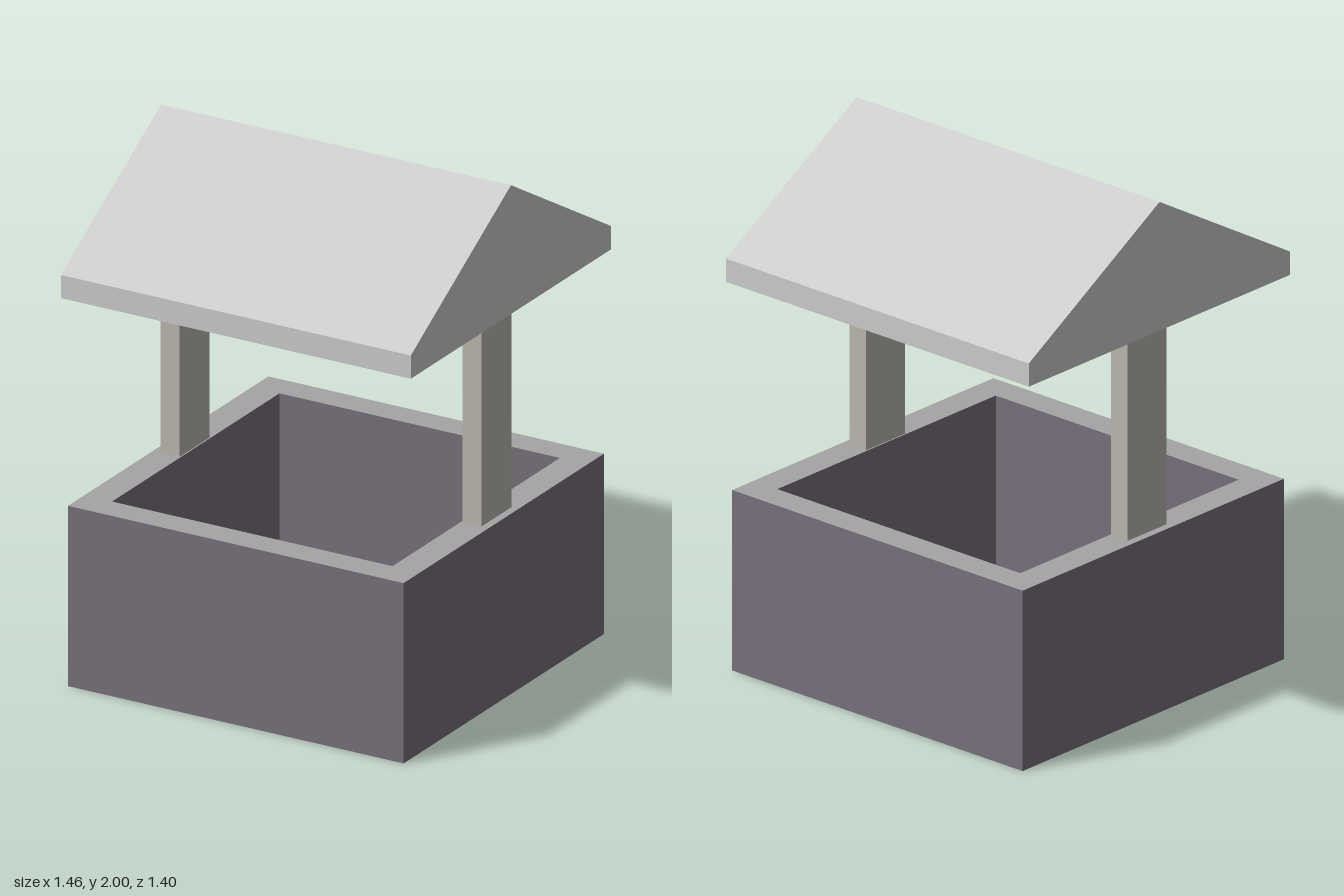
import * as THREE from 'three';

const material = (color) =>
  new THREE.MeshStandardMaterial({ color, flatShading: true, side: THREE.DoubleSide });

function add(parent, name, geometry, mat) {
  const mesh = new THREE.Mesh(geometry, mat);
  mesh.name = name;
  parent.add(mesh);
  return mesh;
}

// Square ring between two [halfWidth, y] levels, aligned with the axes
function squareBand(from, to) {
  const points = [from, to].map(([h, y]) => new THREE.Vector2(h * Math.SQRT2, y));
  return new THREE.LatheGeometry(points, 4, Math.PI / 4);
}

// Square basin: outer skin, rim, inner skin and floor; the gap between the skins is open below
function createBasin() {
  const basin = new THREE.Group();
  basin.name = 'basin';
  const outer = 0.7, inner = 0.585, top = 0.7;
  const wall = material(0x77717b);
  add(basin, 'outerWall', squareBand([outer, 0], [outer, top]), wall);
  add(basin, 'rim', squareBand([outer, top], [inner, top]), material(0xa6a5a6));
  add(basin, 'innerWall', squareBand([inner, top], [inner, 0]), wall);
  const floor = new THREE.PlaneGeometry(inner * 2, inner * 2).rotateX(-Math.PI / 2);
  add(basin, 'floor', floor, material(0x2c242b));
  return basin;
}

// Hollow gabled roof, open underneath
function createRoof() {
  const roof = new THREE.Group();
  roof.name = 'roof';
  const halfLength = 0.73;
  const mat = material(0xcccccc);
  const profile = [[0.7, 1.5], [0.7, 1.59], [0, 2], [-0.7, 1.59], [-0.7, 1.5]];
  const names = ['frontEave', 'frontSlope', 'backSlope', 'backEave'];

  // Eaves and slopes, one quad each along the profile
  names.forEach((name, i) => {
    const [z0, y0] = profile[i], [z1, y1] = profile[i + 1];
    const geometry = new THREE.BufferGeometry();
    geometry.setAttribute('position', new THREE.Float32BufferAttribute([
      -halfLength, y0, z0, halfLength, y0, z0,
      halfLength, y1, z1, -halfLength, y1, z1], 3));
    geometry.setIndex([0, 1, 2, 0, 2, 3]);
    geometry.computeVertexNormals();
    add(roof, name, geometry, mat);
  });

  // Gable ends
  const gable = new THREE.Shape(profile.map(([z, y]) => new THREE.Vector2(z, y)));
  for (const side of [1, -1]) {
    const geometry = new THREE.ShapeGeometry(gable)
      .rotateY(side * Math.PI / 2).translate(side * halfLength, 0, 0);
    add(roof, side > 0 ? 'leftGable' : 'rightGable', geometry, mat);
  }
  return roof;
}

export function createModel() {
  const model = new THREE.Group();
  model.name = 'well';
  model.add(createBasin());

  // Posts standing on the rim
  const postMaterial = material(0xbbb8b0);
  for (const side of [1, -1]) {
    const post = add(model, side > 0 ? 'leftPost' : 'rightPost',
      new THREE.BoxGeometry(0.08, 0.805, 0.21), postMaterial);
    post.position.set(side * 0.63, 1.1, 0);
  }

  model.add(createRoof());
  return model;
}
